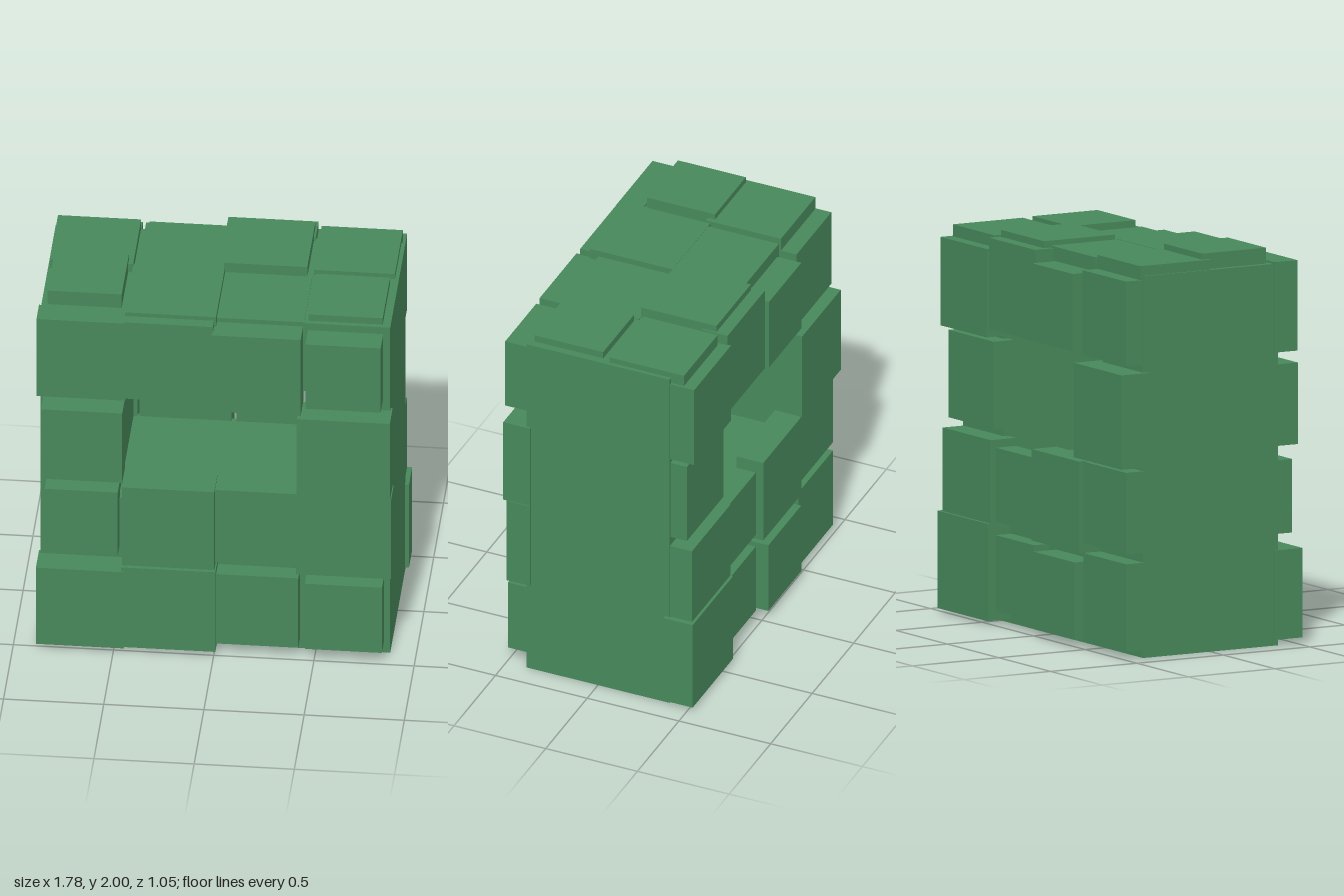
import * as THREE from 'three';

export function createModel() {
  const model = new THREE.Group();
  const green = new THREE.MeshStandardMaterial({ color: 0x47885b });
  green.name = 'green';

  // Box given by its limits on each axis
  function box(name, x0, x1, y0, y1, z0, z1, parent = model) {
    const mesh = new THREE.Mesh(new THREE.BoxGeometry(x1 - x0, y1 - y0, z1 - z0), green);
    mesh.position.set((x0 + x1) / 2, (y0 + y1) / 2, (z0 + z1) / 2);
    mesh.name = name;
    parent.add(mesh);
  }
  function group(name) {
    const g = new THREE.Group();
    g.name = name;
    model.add(g);
    return g;
  }

  // Core wall with a window through it
  const wall = new THREE.Shape([[-0.875, 0], [0.87, 0], [0.87, 1.92], [-0.875, 1.92]]
    .map(([x, y]) => new THREE.Vector2(x, y)));
  wall.holes.push(new THREE.Path([[-0.485, 0.83], [-0.485, 1.52], [0.475, 1.52], [0.475, 0.83]]
    .map(([x, y]) => new THREE.Vector2(x, y))));
  const core = new THREE.Mesh(
    new THREE.ExtrudeGeometry(wall, { depth: 0.78, bevelEnabled: false }), green);
  core.position.z = -0.39;
  core.name = 'coreWall';
  model.add(core);

  // Front stones, bottom row first: x0, x1, y0, y1, outer z
  const front = [
    [-0.885, -0.445, 0.03, 0.48, 0.527], [-0.46, 0.01, 0.035, 0.505, 0.522],
    [0.01, 0.42, 0.06, 0.47, 0.483], [0.455, 0.84, 0.07, 0.455, 0.505],
    [-0.845, -0.48, 0.555, 0.925, 0.49], [-0.455, 0.005, 0.52, 0.98, 0.525],
    [0, 0.42, 0.545, 0.97, 0.488], [0.41, 0.885, 0.5, 0.972, 0.492],
    [-0.86, -0.455, 1.0, 1.41, 0.515], [0.415, 0.88, 0.97, 1.43, 0.512],
    [-0.885, -0.44, 1.475, 1.93, 0.497], [-0.455, -0.005, 1.485, 1.935, 0.493],
    [-0.01, 0.435, 1.45, 1.9, 0.515], [0.46, 0.835, 1.5, 1.88, 0.522],
  ];
  const frontStones = group('frontStones');
  for (const [x0, x1, y0, y1, z] of front)
    box('frontStone', x0, x1, y0, y1, 0.365, z, frontStones);

  // Back stones, bottom row first: x0, x1, y0, y1, outer z
  const back = [
    [-0.88, -0.465, 0.04, 0.48, -0.49], [-0.43, -0.035, 0.04, 0.43, -0.52],
    [0.03, 0.4, 0.07, 0.45, -0.48], [0.405, 0.89, 0.02, 0.51, -0.525],
    [-0.88, -0.465, 0.53, 0.94, -0.49], [-0.455, 0.005, 0.48, 0.94, -0.51],
    [0.03, 0.4, 0.52, 0.89, -0.48], [0.4, 0.865, 0.51, 0.93, -0.51],
    [-0.895, -0.43, 0.96, 1.435, -0.525], [0.42, 0.86, 0.98, 1.42, -0.48],
    [-0.87, -0.45, 1.475, 1.9, -0.485], [-0.42, -0.03, 1.49, 1.88, -0.525],
    [-0.025, 0.425, 1.485, 1.945, -0.505], [0.42, 0.865, 1.445, 1.89, -0.522],
  ];
  const backStones = group('backStones');
  for (const [x0, x1, y0, y1, z] of back)
    box('backStone', x0, x1, y0, y1, z, -0.365, backStones);

  // Top stones: x0, x1, z0, z1, top y
  const top = [
    [-0.865, -0.45, -0.4, 0.01, 1.97], [-0.845, -0.475, -0.03, 0.34, 2.0],
    [-0.425, 0, -0.4, -0.015, 1.955], [-0.45, 0.005, -0.015, 0.435, 1.957],
    [0, 0.415, -0.44, -0.03, 1.98], [0, 0.44, -0.03, 0.39, 1.925],
    [0.445, 0.85, -0.46, -0.055, 1.95], [0.46, 0.83, -0.01, 0.365, 1.957],
  ];
  const topStones = group('topStones');
  for (const [x0, x1, z0, z1, y] of top)
    box('topStone', x0, x1, 1.89, y, z0, z1, topStones);

  return model;
}
